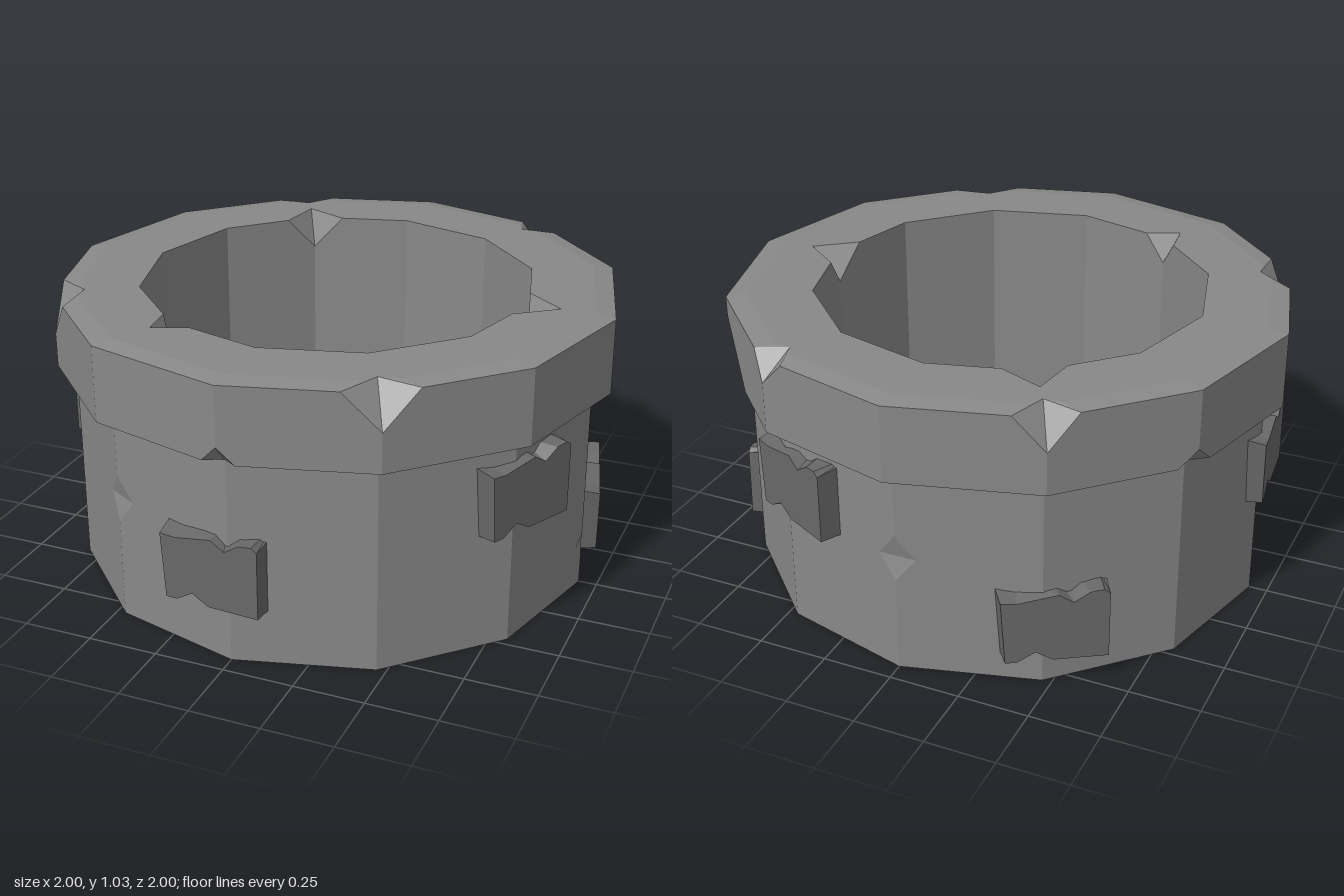
import * as THREE from 'three';
import { mergeGeometries } from 'three/addons/utils/BufferGeometryUtils.js';
import { ConvexGeometry } from 'three/addons/geometries/ConvexGeometry.js';

const SIDES = 12, STEP = Math.PI * 2 / SIDES;
const BODY_R = 0.935, INNER_R = 0.7, BODY_H = 0.745, TOP = 1.03, WATER_Y = 0.15;

// Point at radius r on corner j of the twelve-sided plan (corner 0 faces the front)
const corner = (r, j, y) => new THREE.Vector3(r * Math.sin(j * STEP), y, r * Math.cos(j * STEP));
const along = (a, b, d) => a.clone().lerp(b, d / a.distanceTo(b));

// Chips in the rim: corner number -> [length along the edge, height]
const topChips = { 1: [0.13, 0.13], 5: [0.09, 0.09], 7: [0.11, 0.12], 10: [0.14, 0.15] };
const underChips = { 0: [0.06, 0.06], 4: [0.21, 0.2], 8: [0.07, 0.06] };
const innerChips = { 3: [0.11, 0.12], 7: [0.11, 0.12], 11: [0.08, 0.1] };
// Dents on the corners of the wall: corner number -> [height, size]
const dents = { 3: [0.15, 0.05], 6: [0.43, 0.085], 11: [0.45, 0.085] };

// Points for one end of a rim block, with any chips cut off
function rimEnd(j, other) {
  const id = j % SIDES, pts = [corner(INNER_R, j, 0.74), corner(BODY_R, j, 0.74)];
  const edge = (r, y, d) => along(corner(r, j, y), corner(r, other, y), d);
  const top = topChips[id], under = underChips[id], inner = innerChips[id];
  if (top) {
    pts.push(edge(1, 1.02, top[0]), edge(0.93, TOP, top[0] * 0.5),
      corner(1, j, 1.02 - top[1]), corner(0.89, j, TOP));
  } else pts.push(corner(1, j, 1.02), corner(0.93, j, TOP));
  if (under) pts.push(edge(1, 0.75, under[0]), corner(1, j, 0.75 + under[1]));
  else pts.push(corner(1, j, 0.75));
  if (inner) {
    pts.push(edge(INNER_R, TOP, inner[0]), corner(INNER_R, j, TOP - inner[1]),
      corner(INNER_R + inner[0], j, TOP));
  } else pts.push(corner(INNER_R, j, TOP));
  return pts;
}

function rimGeometry() {
  const blocks = [];
  for (let k = 0; k < SIDES; k++) {
    blocks.push(new ConvexGeometry([...rimEnd(k, k + 1), ...rimEnd(k + 1, k)]));
  }
  return mergeGeometries(blocks);
}

// Outer wall: flat panels with notched sides, plus the sunken facets of each dent
function wallGeometry() {
  const parts = [], half = BODY_R * Math.sin(STEP / 2);
  for (let k = 0; k < SIDES; k++) {
    const outline = [[-half, 0], [half, 0]];
    const right = dents[(k + 1) % SIDES], left = dents[k];
    if (right) {
      const [y, s] = right;
      outline.push([half, y - s], [half - s * 0.8, y], [half, y + s]);
    }
    outline.push([half, BODY_H], [-half, BODY_H]);
    if (left) {
      const [y, s] = left;
      outline.push([-half, y + s], [-half + s * 0.8, y], [-half, y - s]);
    }
    const shape = new THREE.Shape(outline.map(p => new THREE.Vector2(...p)));
    const panel = new THREE.ShapeGeometry(shape).toNonIndexed();
    panel.deleteAttribute('uv');
    panel.translate(0, 0, BODY_R * Math.cos(STEP / 2)).rotateY((k + 0.5) * STEP);
    parts.push(panel);
    if (left) {
      const [y, s] = left, mid = corner(BODY_R, k, y);
      const low = corner(BODY_R, k, y - s), up = corner(BODY_R, k, y + s);
      const r = along(mid, corner(BODY_R, k + 1, y), s * 0.8);
      const l = along(mid, corner(BODY_R, k - 1, y), s * 0.8);
      const dent = new THREE.BufferGeometry().setFromPoints([low, r, l, up, l, r]);
      dent.computeVertexNormals();
      parts.push(dent);
    }
  }
  return mergeGeometries(parts);
}

// Raised stone: a tapered slab whose front edge is notched above and below
function stoneGeometry() {
  const outline = [[-0.16, -0.13], [-0.12, -0.13], [-0.06, -0.095], [0, -0.13], [0.185, -0.13],
    [0.185, 0.115], [0.165, 0.13], [0.12, 0.125], [0.065, 0.09], [0.015, 0.122], [-0.12, 0.1], [-0.175, 0.105]];
  const depth = 0.14;
  const geo = new THREE.ExtrudeGeometry(
    new THREE.Shape(outline.map(p => new THREE.Vector2(...p))), { depth, bevelEnabled: false });
  const pos = geo.attributes.position;
  for (let i = 0; i < pos.count; i++) {
    if (pos.getZ(i) > depth / 2) continue;
    // The back outline is whole: straighten both edges and widen the left side
    pos.setY(i, Math.sign(pos.getY(i)) * 0.132);
    if (pos.getX(i) < -0.15) pos.setX(i, pos.getX(i) - 0.015);
  }
  geo.computeVertexNormals();
  return geo;
}

export function createModel() {
  const model = new THREE.Group();
  model.name = 'stoneWell';
  const material = (name, color) => {
    const m = new THREE.MeshStandardMaterial({ color, flatShading: true, side: THREE.DoubleSide });
    m.name = name;
    return m;
  };
  const masonry = material('grey masonry', 0x888888);
  const darkStone = material('dark stone', 0x686868);
  const waterBlue = material('dark water', 0x32464f);
  const add = (name, geo, mat) => {
    const mesh = new THREE.Mesh(geo, mat);
    mesh.name = name;
    model.add(mesh);
    return mesh;
  };

  add('rim', rimGeometry(), masonry);
  add('outerWall', wallGeometry(), masonry);
  add('innerWall', new THREE.CylinderGeometry(INNER_R, INNER_R, 0.74 - WATER_Y, SIDES, 1, true)
    .translate(0, (0.74 + WATER_Y) / 2, 0), masonry);

  // Base and water, turned so their corners meet the walls
  add('base', new THREE.CircleGeometry(BODY_R, SIDES).rotateX(Math.PI / 2), masonry);
  add('water', new THREE.CircleGeometry(INNER_R, SIDES).rotateX(-Math.PI / 2)
    .translate(0, WATER_Y, 0), waterBlue);

  // Raised stones: angle around the wall, height, roll (degrees)
  const stone = stoneGeometry();
  const places = [[-4, 0.33, 0], [63, 0.555, 0], [105, 0.23, 3], [153, 0.555, 0], [212, 0.23, 0], [276, 0.525, 0]];
  places.forEach(([deg, y, roll], i) => {
    const a = THREE.MathUtils.degToRad(deg), mesh = add('raisedStone' + (i + 1), stone, darkStone);
    mesh.position.set(Math.sin(a) * 0.82, y, Math.cos(a) * 0.82);
    mesh.rotation.set(0, a, THREE.MathUtils.degToRad(roll));
  });
  return model;
}
